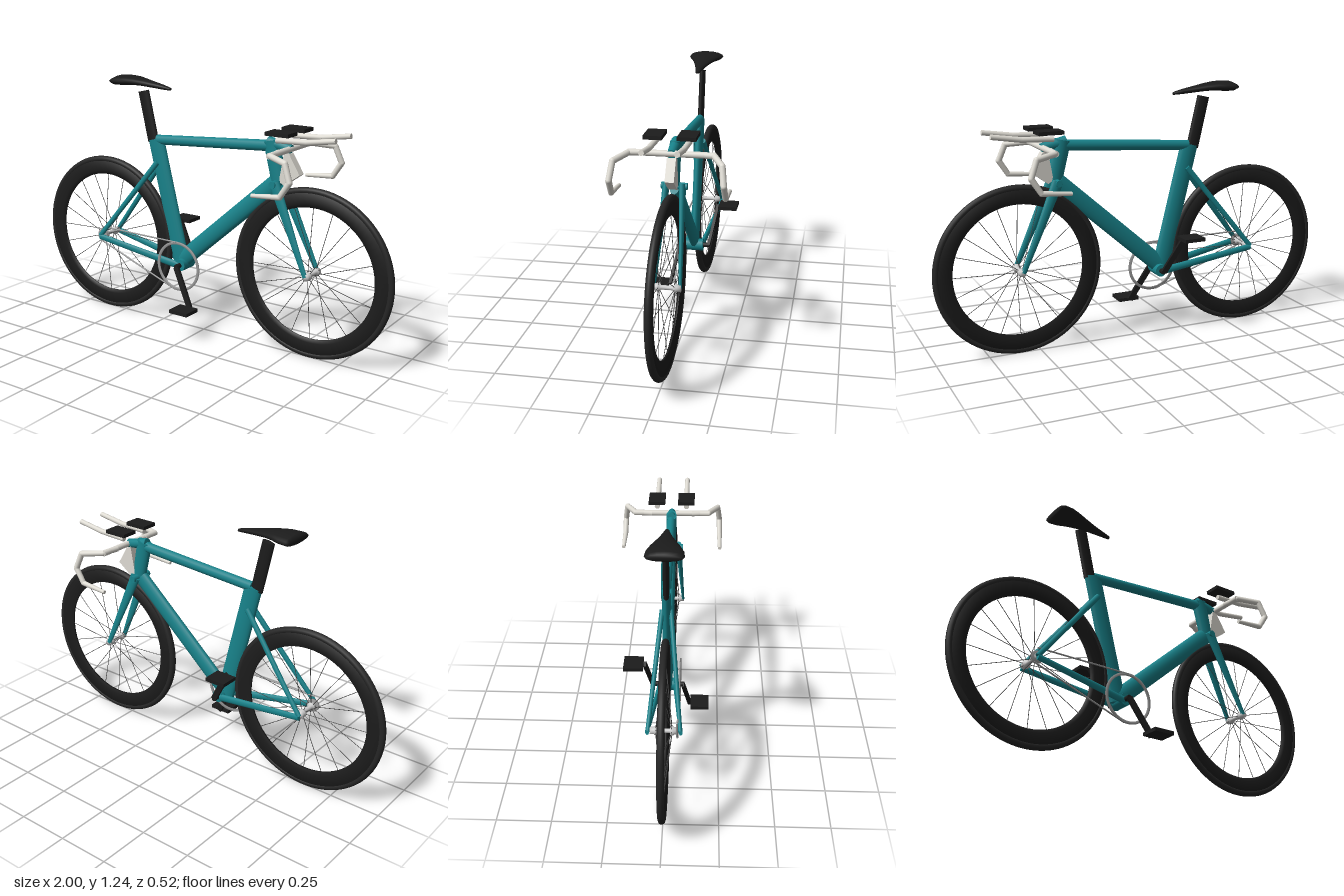
import * as THREE from 'three';

const mat = (color) => new THREE.MeshStandardMaterial({ color });
const TEAL = mat(0x18828a), BLACK = mat(0x1c1c1c), RUBBER = mat(0x262626);
const PALE = mat(0xdedbd3), GREY = mat(0xcccccc), DARK = mat(0x444444), STEEL = mat(0x999999);
const V = (p) => new THREE.Vector3(...p);

function add(parent, name, geometry, material, pos = [0, 0, 0]) {
  const mesh = new THREE.Mesh(geometry, material);
  mesh.name = name;
  mesh.position.set(...pos);
  parent.add(mesh);
  return mesh;
}

// Tapered tube from a to b; r0/r1 are the radii in the frame plane, flat scales it sideways
function rod(parent, name, a, b, r0, r1, material, flat = 1, sides = 18) {
  const p = V(a), q = V(b), dir = q.clone().sub(p);
  const geo = new THREE.CylinderGeometry(r1, r0, dir.length(), sides);
  geo.scale(1, 1, flat);
  const y = dir.normalize();
  const ref = Math.abs(y.z) > 0.9 ? V([1, 0, 0]) : V([0, 0, 1]);
  const x = y.clone().cross(ref).normalize();
  const mesh = add(parent, name, geo, material);
  mesh.quaternion.setFromRotationMatrix(new THREE.Matrix4().makeBasis(x, y, x.clone().cross(y)));
  mesh.position.copy(p.add(q).multiplyScalar(0.5));
  return mesh;
}

// Bent round bar with rounded elbows; one radius per point
function bar(parent, name, points, radii, material) {
  const group = new THREE.Group();
  group.name = name;
  parent.add(group);
  for (let i = 0; i < points.length - 1; i++) {
    rod(group, name + 'Section', points[i], points[i + 1], radii[i], radii[i + 1], material, 1, 14);
    if (i) add(group, name + 'Elbow', new THREE.SphereGeometry(radii[i], 14, 10), material, points[i]);
  }
}

function lathe(parent, name, profile, material, segments = 72) {
  const pts = profile.map(([r, z]) => new THREE.Vector2(r, z));
  return add(parent, name, new THREE.LatheGeometry(pts, segments).rotateX(Math.PI / 2), material);
}

function makeWheel(name, x) {
  const wheel = new THREE.Group();
  wheel.name = name;
  wheel.position.set(x, 0.405, 0);
  add(wheel, 'tyre', new THREE.TorusGeometry(0.389, 0.016, 12, 80), RUBBER);
  // deep rim
  lathe(wheel, 'rim', [[0.313, -0.004], [0.33, -0.01], [0.385, -0.014], [0.385, 0.014],
    [0.33, 0.01], [0.313, 0.004], [0.313, -0.004]], BLACK);
  // spokes alternate between the two hub flanges
  for (let i = 0; i < 20; i++) {
    const t = (i / 20) * Math.PI * 2, c = Math.cos(t), s = Math.sin(t);
    const z = i % 2 ? 0.036 : -0.036;
    rod(wheel, 'spoke', [c * 0.015, s * 0.015, z], [c * 0.318, s * 0.318, 0], 0.0015, 0.0015, DARK, 1, 5);
  }
  lathe(wheel, 'hub', [[0, -0.062], [0.016, -0.062], [0.016, -0.045], [0.02, -0.042], [0.02, -0.032],
    [0.01, -0.026], [0.01, 0.026], [0.02, 0.032], [0.02, 0.042], [0.016, 0.045], [0.016, 0.062],
    [0, 0.062]], GREY, 20);
  return wheel;
}

// Saddle lofted from elliptical sections: x, middle height, half height, half width
function makeSaddle() {
  const sections = [[-0.51, 1.21, 0.016, 0.078], [-0.495, 1.21, 0.024, 0.084], [-0.45, 1.211, 0.024, 0.08],
    [-0.41, 1.212, 0.021, 0.066], [-0.36, 1.208, 0.018, 0.048], [-0.3, 1.2, 0.015, 0.03],
    [-0.24, 1.192, 0.012, 0.017], [-0.195, 1.185, 0.007, 0.01]];
  const n = 16, pos = [], idx = [];
  for (const [x, y, h, w] of sections)
    for (let j = 0; j < n; j++) {
      const t = (j / n) * Math.PI * 2;
      pos.push(x, y + Math.sin(t) * h, Math.cos(t) * w);
    }
  const last = sections.length - 1;
  for (let i = 0; i < last; i++)
    for (let j = 0; j < n; j++) {
      const a = i * n + j, b = i * n + ((j + 1) % n);
      idx.push(a, a + n, b, b, a + n, b + n);
    }
  for (let j = 1; j < n - 1; j++) idx.push(0, j, j + 1, last * n, last * n + j + 1, last * n + j);
  const geo = new THREE.BufferGeometry();
  geo.setAttribute('position', new THREE.Float32BufferAttribute(pos, 3));
  geo.setIndex(idx);
  geo.computeVertexNormals();
  const m = BLACK.clone();
  m.side = THREE.DoubleSide;
  const mesh = new THREE.Mesh(geo, m);
  mesh.name = 'saddle';
  return mesh;
}

export function createModel() {
  const bike = new THREE.Group();
  bike.name = 'bicycle';
  bike.add(makeWheel('rearWheel', -0.595), makeWheel('frontWheel', 0.595), makeSaddle());

  // main frame
  const frame = new THREE.Group();
  frame.name = 'frame';
  bike.add(frame);
  rod(frame, 'seatTube', [-0.13, 0.32, 0], [-0.283, 0.935, 0], 0.046, 0.046, TEAL, 0.45);
  rod(frame, 'topTube', [-0.275, 0.932, 0], [0.37, 0.975, 0], 0.024, 0.026, TEAL, 0.85);
  rod(frame, 'downTube', [-0.125, 0.345, 0], [0.4, 0.805, 0], 0.042, 0.042, TEAL, 0.55);
  rod(frame, 'headTube', [0.415, 0.81, 0], [0.372, 1.0, 0], 0.038, 0.042, TEAL, 0.6);
  rod(frame, 'stem', [0.355, 0.993, 0], [0.475, 0.968, 0], 0.026, 0.022, TEAL, 0.9);
  rod(frame, 'bottomBracket', [-0.115, 0.325, -0.045], [-0.115, 0.325, 0.045], 0.03, 0.03, TEAL);
  rod(frame, 'forkCrown', [0.41, 0.807, -0.058], [0.41, 0.807, 0.058], 0.016, 0.016, TEAL);
  rod(frame, 'seatPost', [-0.3, 0.92, 0], [-0.357, 1.165, 0], 0.032, 0.032, BLACK, 0.45);

  // wedge fairing in front of the head tube
  const wedge = new THREE.Shape([[0.45, 0.96], [0.475, 0.95], [0.53, 0.86], [0.45, 0.803], [0.425, 0.82]]
    .map(([x, y]) => new THREE.Vector2(x, y)));
  const wedgeGeo = new THREE.ExtrudeGeometry(wedge, { depth: 0.04, bevelEnabled: false });
  add(bike, 'frontFairing', wedgeGeo, PALE, [0, 0, -0.02]);
  rod(bike, 'handlebarCentre', [0.47, 0.97, -0.19], [0.47, 0.97, 0.19], 0.014, 0.014, PALE);

  for (const s of [1, -1]) {
    const side = s > 0 ? 'right' : 'left';
    // stays and fork blades
    rod(frame, side + 'ChainStay', [-0.115, 0.32, s * 0.037], [-0.6, 0.4, s * 0.074], 0.019, 0.015, TEAL, 0.6);
    rod(frame, side + 'SeatStay', [-0.262, 0.825, s * 0.02], [-0.6, 0.405, s * 0.072], 0.014, 0.012, TEAL, 0.8);
    rod(frame, side + 'ForkBlade', [0.41, 0.815, s * 0.036], [0.592, 0.405, s * 0.058], 0.028, 0.012, TEAL, 0.55);
    // drop bars
    bar(bike, side + 'DropBar', [[0.465, 0.97, s * 0.1], [0.475, 0.97, s * 0.185], [0.575, 0.958, s * 0.232],
      [0.605, 0.88, s * 0.243], [0.56, 0.812, s * 0.245], [0.42, 0.8, s * 0.245]],
    [0.014, 0.014, 0.014, 0.014, 0.013, 0.009], PALE);
    // arm rests and extensions
    add(bike, side + 'ArmPad', new THREE.BoxGeometry(0.118, 0.017, 0.082), BLACK, [0.462, 1.05, s * 0.073]);
    bar(bike, side + 'AeroExtension', [[0.44, 1.018, s * 0.073], [0.59, 1.024, s * 0.073],
      [0.73, 1.045, s * 0.073]], [0.013, 0.013, 0.012], PALE);
    // cranks and pedals, half a turn apart
    const px = -0.115 + s * 0.103, py = 0.325 - s * 0.18;
    const crank = rod(bike, side + 'Crank', [-0.115, 0.325, s * 0.073], [px, py, s * 0.105], 1, 1, BLACK);
    const length = Math.hypot(0.103, 0.18, 0.032);
    crank.geometry = new THREE.BoxGeometry(0.028, length, 0.014);
    add(bike, side + 'Pedal', new THREE.BoxGeometry(0.105, 0.017, 0.092), BLACK, [px, py, s * 0.157]);
  }
  rod(bike, 'crankAxle', [-0.115, 0.325, -0.075], [-0.115, 0.325, 0.075], 0.012, 0.012, BLACK);

  // chainring, rear sprocket and chain
  lathe(bike, 'chainring', [[0.112, -0.003], [0.125, -0.003], [0.125, 0.003], [0.112, 0.003], [0.112, -0.003]], STEEL)
    .position.set(-0.112, 0.325, 0.06);
  lathe(bike, 'sprocket', [[0, -0.004], [0.03, -0.004], [0.03, 0.004], [0, 0.004]], STEEL, 24)
    .position.set(-0.595, 0.405, 0.058);
  rod(bike, 'upperChain', [-0.595, 0.45, 0.06], [-0.112, 0.447, 0.06], 0.004, 0.004, STEEL, 1, 8);
  rod(bike, 'lowerChain', [-0.61, 0.378, 0.06], [-0.135, 0.203, 0.06], 0.004, 0.004, STEEL, 1, 8);
  return bike;
}
